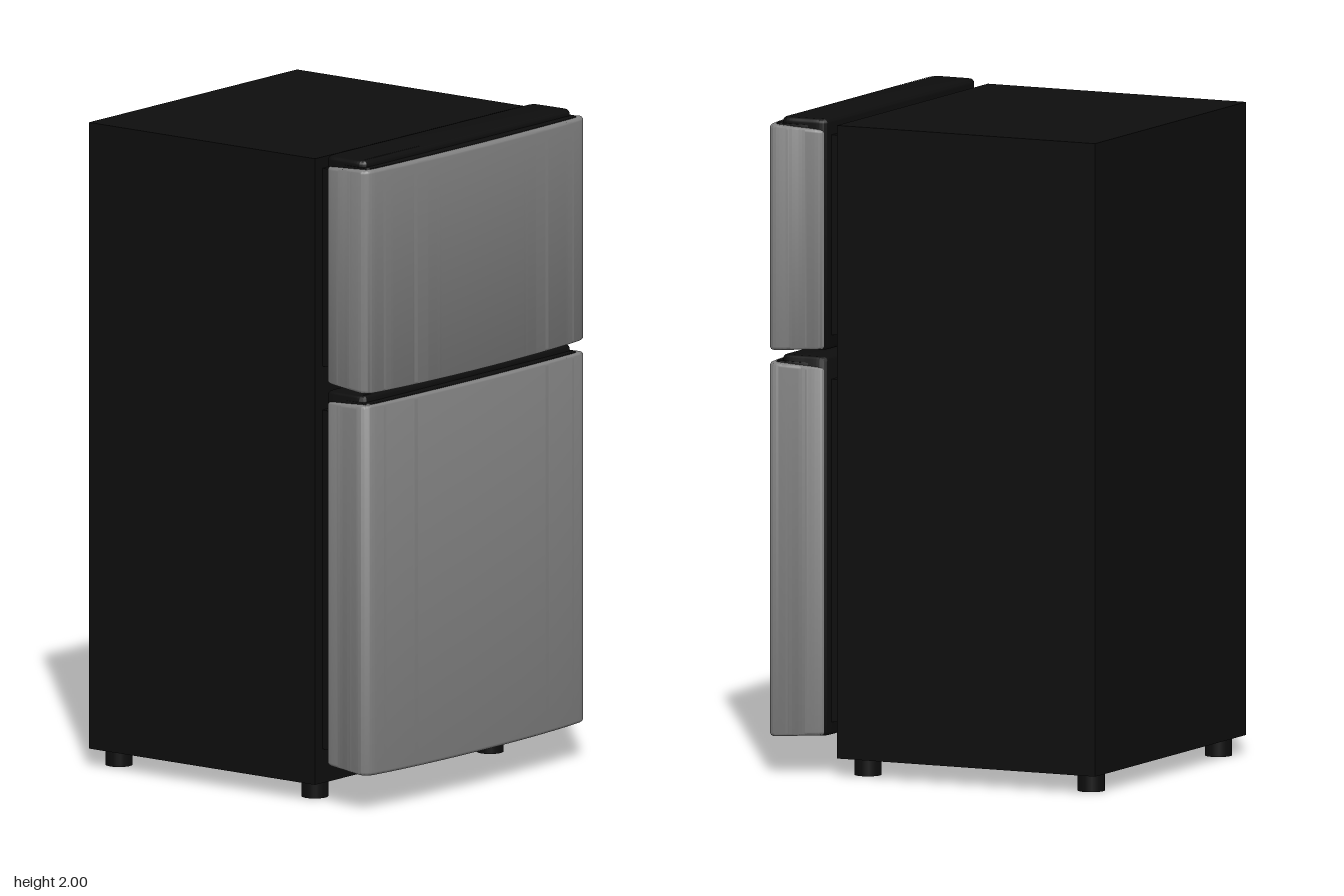
import * as THREE from 'three';
import { toCreasedNormals } from 'three/addons/utils/BufferGeometryUtils.js';

const black = new THREE.MeshStandardMaterial({ color: 0x0d0d0d });
const grey = new THREE.MeshStandardMaterial({ color: 0x808080 });

function add(parent, name, geometry, material, x = 0, y = 0, z = 0) {
  const mesh = new THREE.Mesh(geometry, material);
  mesh.name = name;
  mesh.position.set(x, y, z);
  parent.add(mesh);
  return mesh;
}

function box(parent, name, x0, x1, y0, y1, halfZ) {
  return add(parent, name, new THREE.BoxGeometry(x1 - x0, y1 - y0, halfZ * 2), black,
    (x0 + x1) / 2, (y0 + y1) / 2, 0);
}

// Plan outline, mirrored across z, from half of its [x, z] points; front is a smooth curve
function outline(half) {
  const mirrored = half.slice(0, -1).reverse().map(([x, z]) => [x, -z]);
  const pts = [...half, ...mirrored].map(([x, z]) => new THREE.Vector2(x, z));
  const shape = new THREE.Shape();
  shape.moveTo(pts[0].x, pts[0].y);
  shape.splineThru(pts.slice(1));
  shape.closePath();
  return shape;
}

// Upright slab with softened edges; slope lowers the top and lifts the bottom towards the back
function slab(shape, y0, y1, bevel, slope = 0) {
  const geo = new THREE.ExtrudeGeometry(shape, {
    depth: y1 - y0 - 2 * bevel, bevelEnabled: true, bevelSize: bevel, bevelThickness: bevel,
    bevelOffset: -bevel, bevelSegments: 4, curveSegments: 48,
  });
  geo.rotateX(-Math.PI / 2).translate(0, y0 + bevel, 0);
  const p = geo.attributes.position;
  const mid = (y0 + y1) / 2;
  for (let i = 0; i < p.count; i++) {
    const y = p.getY(i);
    p.setY(i, y - Math.sign(y - mid) * slope * (0.56 - p.getX(i)));
  }
  return toCreasedNormals(geo, 0.7);
}

const shellShape = outline([
  [0.353, 0.48], [0.357, 0.502], [0.375, 0.514], [0.43, 0.524], [0.495, 0.535], [0.515, 0.533],
  [0.531, 0.515], [0.538, 0.48], [0.548, 0.36], [0.556, 0.19], [0.559, 0],
]);
const linerShape = outline([
  [0.345, 0.46], [0.349, 0.49], [0.365, 0.503], [0.42, 0.506], [0.475, 0.506],
  [0.493, 0.498], [0.499, 0.47], [0.5, 0.3], [0.5, 0],
]);
const panelShape = outline([
  [0.365, 0.48], [0.372, 0.498], [0.42, 0.507], [0.49, 0.508], [0.512, 0.505],
  [0.52, 0.48], [0.526, 0.36], [0.531, 0.19], [0.533, 0],
]);

// Door: curved outer shell, dark liner rising above it, top panel and gasket
function door(name, y0, y1, gasket0, gasket1) {
  const group = new THREE.Group();
  group.name = name;
  add(group, 'doorShell', slab(shellShape, y0, y1, 0.011, 0.06), grey);
  add(group, 'doorLiner', slab(linerShape, y0 + 0.009, y1 + 0.02, 0.014), black);
  add(group, 'doorTopPanel', slab(panelShape, y1 - 0.03, y1 + 0.001, 0.003), black);
  box(group, 'doorGasket', 0.308, 0.36, gasket0, gasket1, 0.47);
  return group;
}

export function createModel() {
  const model = new THREE.Group();
  model.name = 'refrigerator';

  box(model, 'cabinet', -0.563, 0.31, 0.055, 1.985, 0.505);
  model.add(door('freezerDoor', 1.287, 1.98, 1.34, 1.95));
  model.add(door('fridgeDoor', 0.11, 1.255, 0.16, 1.205));

  // Four round feet
  const footGeo = new THREE.CylinderGeometry(0.041, 0.041, 0.06, 24);
  for (const x of [-0.51, 0.245])
    for (const z of [-0.425, 0.425]) add(model, 'foot', footGeo, black, x, 0.03, z);

  return model;
}
